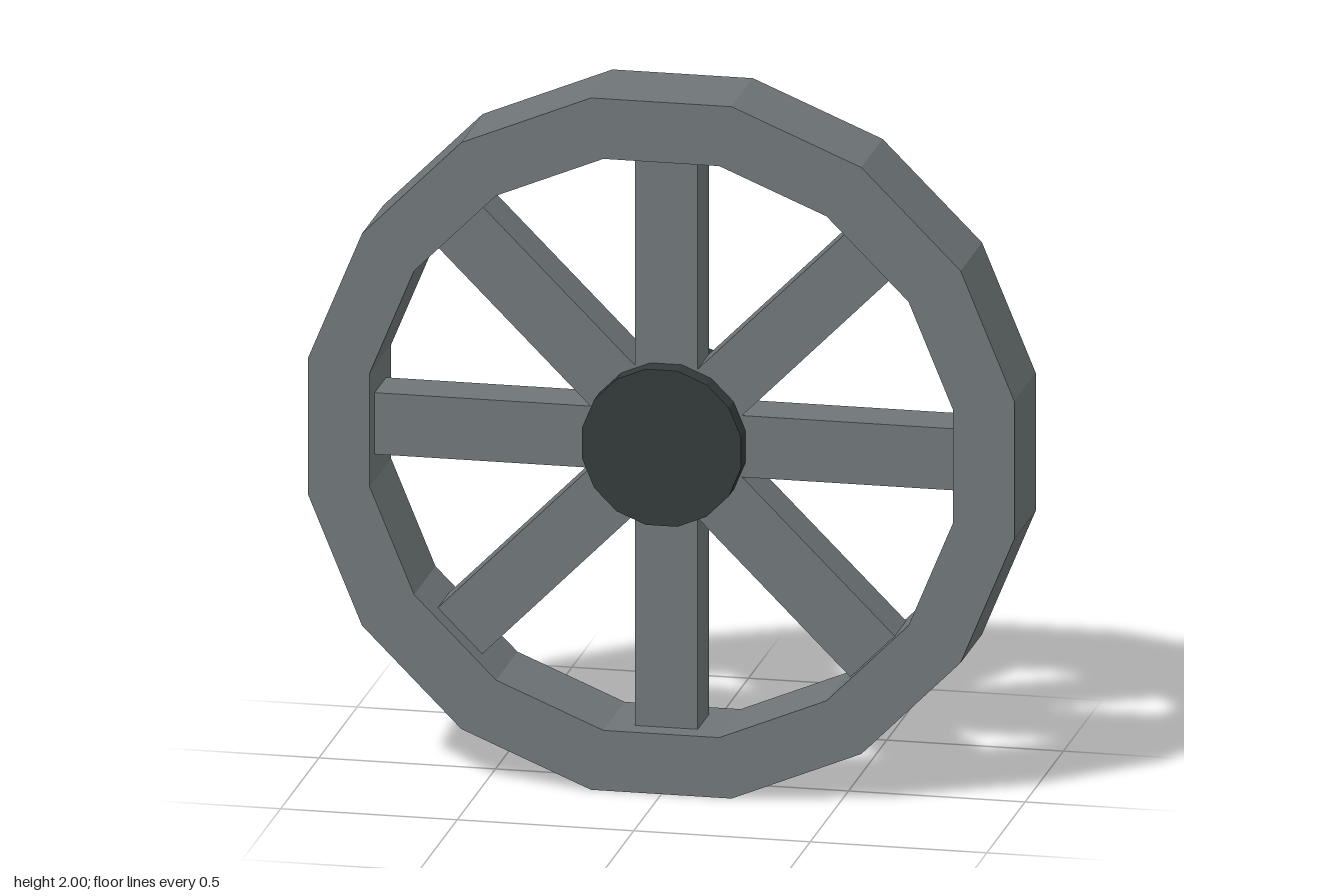
import * as THREE from 'three';

const SIDES = 16;

// Corners of a regular polygon whose flat sides lie at the given distance from the centre
function polygon(apothem) {
  const r = apothem / Math.cos(Math.PI / SIDES);
  return Array.from({ length: SIDES }, (_, i) => {
    const a = ((i + 0.5) / SIDES) * Math.PI * 2;
    return new THREE.Vector2(Math.cos(a) * r, Math.sin(a) * r);
  });
}

// Extrudes a shape, centred on z = 0
function slab(shape, depth) {
  return new THREE.ExtrudeGeometry(shape, { depth, bevelEnabled: false }).translate(0, 0, -depth / 2);
}

export function createModel() {
  const wheel = new THREE.Group();
  wheel.name = 'wheel';

  const grey = new THREE.MeshStandardMaterial({ color: 0x6f7678, flatShading: true });
  grey.name = 'weathered grey';
  const dark = new THREE.MeshStandardMaterial({ color: 0x343b3b, flatShading: true });
  dark.name = 'dark iron';

  const add = (name, geometry, material) => {
    const mesh = new THREE.Mesh(geometry, material);
    mesh.name = name;
    mesh.position.y = 1;
    wheel.add(mesh);
    return mesh;
  };

  // Rim: faceted ring
  const ring = new THREE.Shape(polygon(1));
  ring.holes.push(new THREE.Path(polygon(0.826)));
  add('rim', slab(ring, 0.28), grey);

  // Eight spokes, formed by four bars crossing at the centre
  for (let i = 0; i < 4; i++) {
    const bar = add('spokePair' + (i + 1), new THREE.BoxGeometry(1.66, 0.178, 0.15), grey);
    bar.rotation.z = (i * Math.PI) / 4;
  }

  // Hub: passes through the spokes and shows on both faces
  add('hub', slab(new THREE.Shape(polygon(0.225)), 0.275), dark);

  return wheel;
}
